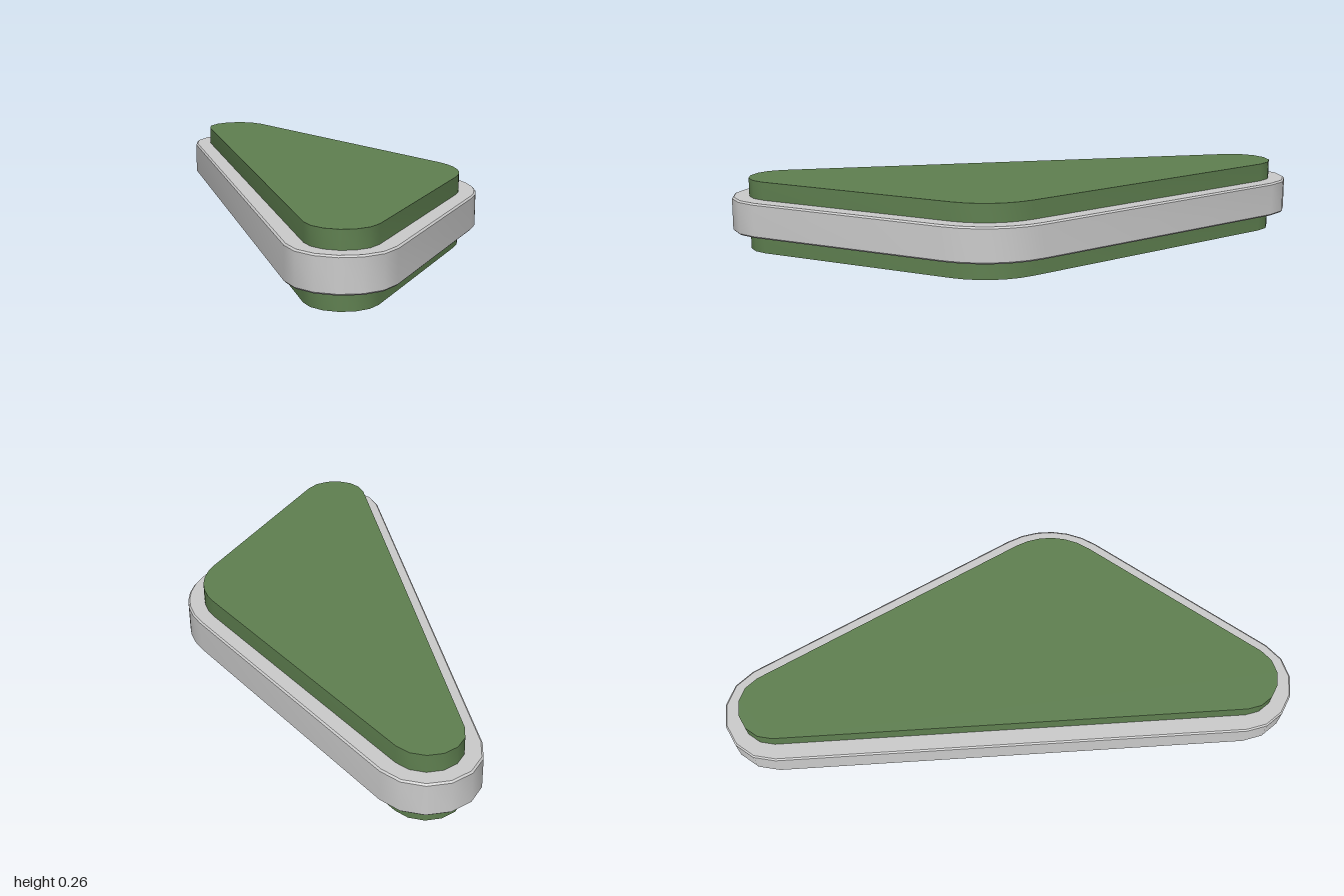
import * as THREE from 'three';
import { toCreasedNormals } from 'three/addons/utils/BufferGeometryUtils.js';

// Corner circles of the rounded triangle: x, z, radius
const CORNERS = [
  [-0.813, -0.324, 0.19],
  [0.31, -0.234, 0.33],
  [0.81, 0.373, 0.19],
];

// Outline hugging the three corner circles, shrunk by inset
function outline(inset) {
  const normals = CORNERS.map(([x, z, r], i) => {
    const [nx, nz, nr] = CORNERS[(i + 1) % 3];
    const dx = nx - x, dz = nz - z;
    return Math.atan2(dz, dx) - Math.acos((r - nr) / Math.hypot(dx, dz));
  });
  const shape = new THREE.Shape();
  CORNERS.forEach(([x, z, r], i) =>
    shape.absarc(x, z, r - inset, normals[(i + 2) % 3], normals[i], false));
  shape.closePath();
  return shape;
}

// Horizontal slab from y0 to y1 with a fine bevel
function slab(name, color, inset, y0, y1, bevel) {
  const geometry = new THREE.ExtrudeGeometry(outline(inset), {
    depth: y1 - y0 - 2 * bevel,
    curveSegments: 3,
    bevelEnabled: bevel > 0,
    bevelThickness: bevel,
    bevelSize: bevel,
    bevelOffset: -bevel,
    bevelSegments: 1,
  });
  geometry.rotateX(Math.PI / 2);
  geometry.translate(0, y1 - bevel, 0);
  const mesh = new THREE.Mesh(
    toCreasedNormals(geometry, 0.6),
    new THREE.MeshStandardMaterial({ color }),
  );
  mesh.name = name;
  return mesh;
}

export function createModel() {
  const group = new THREE.Group();
  group.name = 'roundedTrianglePlate';
  const green = 0x5f8050;
  group.add(
    slab('bottomPlate', green, 0.063, 0, 0.07, 0),
    slab('middleBand', 0xcccccc, 0, 0.07, 0.198, 0.006),
    slab('topPlate', green, 0.063, 0.198, 0.265, 0),
  );
  return group;
}
